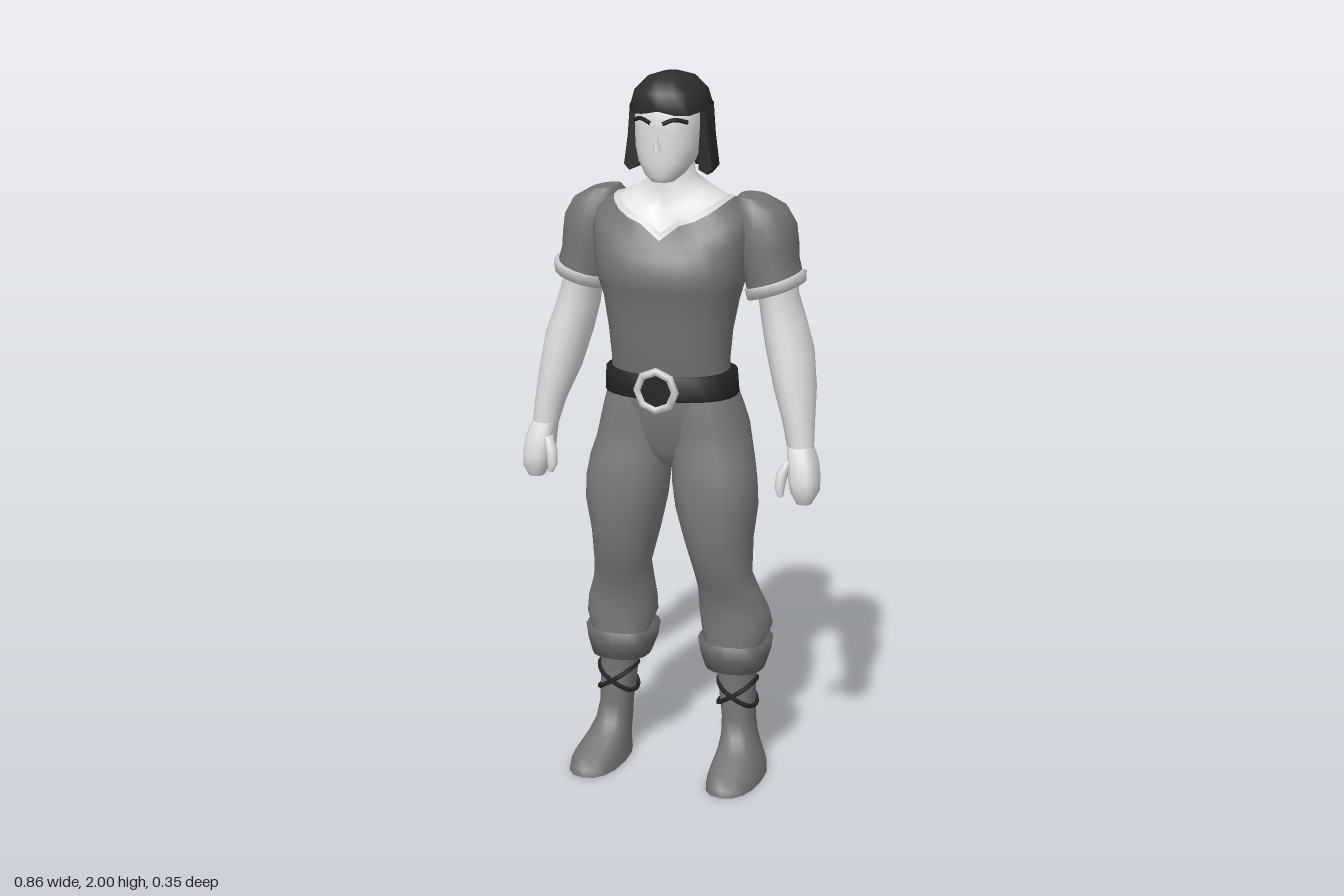
import * as THREE from 'three';

const mat = (name, color, side = THREE.FrontSide) => {
  const m = new THREE.MeshStandardMaterial({ color, side });
  m.name = name;
  return m;
};

// One horizontal cross-section: y may be a number or a rule of (cos, sin); zf / zb are front and back depth.
function ring(y, cx, rx, zf, zb, e = 0.9, n = 16) {
  const zc = (zf + zb) / 2, pts = [];
  for (let i = 0; i < n; i++) {
    const a = (i / n) * Math.PI * 2, s = Math.sin(a), c = Math.cos(a);
    const p = v => Math.sign(v) * Math.abs(v) ** e;
    pts.push([cx + rx * p(s), typeof y === 'function' ? y(c, s) : y, zc + (zf - zc) * p(c)]);
  }
  return pts;
}

// Skin closed rings (listed top to bottom) into a smooth surface, with optional end caps.
function loft(rings, capTop = false, capBottom = false) {
  const n = rings[0].length, pos = rings.flat(2), idx = [];
  for (let i = 0; i < rings.length - 1; i++)
    for (let j = 0; j < n; j++) {
      const a = i * n + j, b = i * n + (j + 1) % n;
      idx.push(a, a + n, b + n, a, b + n, b);
    }
  const cap = (r, flip) => {
    const base = pos.length / 3;
    r.forEach(p => pos.push(...p));
    pos.push(...[0, 1, 2].map(k => r.reduce((t, p) => t + p[k], 0) / n));
    for (let j = 0; j < n; j++) {
      const a = base + j, b = base + (j + 1) % n;
      idx.push(base + n, flip ? b : a, flip ? a : b);
    }
  };
  if (capTop) cap(rings[0], false);
  if (capBottom) cap(rings[rings.length - 1], true);
  const g = new THREE.BufferGeometry();
  g.setAttribute('position', new THREE.Float32BufferAttribute(pos, 3));
  g.setIndex(idx);
  g.computeVertexNormals();
  return g;
}

const tube = (pts, r, closed = false) => new THREE.TubeGeometry(
  new THREE.CatmullRomCurve3(pts.map(p => new THREE.Vector3(...p)), closed), pts.length * 3, r, 5, closed);

// Height rule blending side height into front and back heights, with a notch at the centre front.
const dip = (side, front, back, notch = 0) => c =>
  side + ((c > 0 ? front : back) - side) * c * c - (c > 0.99 ? notch : 0);

export function createModel() {
  const model = new THREE.Group();
  const skin = mat('skin', 0xdedede), shirt = mat('shirt', 0x757575, THREE.DoubleSide);
  const pants = mat('trousers', 0x7c7c7c), boot = mat('boot leather', 0x747474);
  const cuff = mat('cuff', 0x686868), trim = mat('trim', 0xcfcfcf, THREE.DoubleSide);
  const hair = mat('hair', 0x2c2c2c, THREE.DoubleSide), dark = mat('belt and laces', 0x262626);
  const add = (name, geo, m) => {
    const mesh = new THREE.Mesh(geo, m);
    mesh.name = name;
    model.add(mesh);
    return mesh;
  };

  // Torso, collar and neck share the neckline rings
  const neckOut = ring(dip(1.665, 1.6, 1.615, 0.04), 0, 0.165, 0.1, -0.158, 0.8, 24);
  const neckIn = ring(dip(1.668, 1.615, 1.63, 0.035), 0, 0.145, 0.09, -0.148, 0.8, 24);
  const torso = [
    [dip(1.63, 1.545, 1.58), 0.215, 0.118, -0.168], [dip(1.57, 1.515, 1.54), 0.222, 0.142, -0.17],
    [1.47, 0.21, 0.158, -0.165], [1.43, 0.2, 0.153, -0.158], [1.385, 0.187, 0.139, -0.145],
    [1.3, 0.172, 0.132, -0.125], [1.22, 0.165, 0.12, -0.115], [1.15, 0.166, 0.108, -0.115],
  ].map(([y, rx, f, b]) => ring(y, 0, rx, f, b, 0.88, 24));
  add('shirt body', loft([neckOut, ...torso]), shirt);
  add('collar trim', loft([neckIn, neckOut]), trim);
  add('neck', loft([
    ring(1.79, 0, 0.052, 0.04, -0.08, 1, 24),
    ring(dip(1.72, 1.68, 1.73), 0, 0.057, 0.032, -0.09, 1, 24),
    ring(dip(1.69, 1.635, 1.68), 0, 0.1, 0.062, -0.125, 0.9, 24), neckIn]), skin);

  // Head
  add('head', loft([
    [1.96, 0.07, 0.08, -0.08], [1.91, 0.09, 0.113, -0.1], [1.86, 0.09, 0.114, -0.1],
    [1.81, 0.086, 0.114, -0.08], [1.77, 0.074, 0.114, -0.05], [1.735, 0.05, 0.11, -0.01],
    [1.718, 0.03, 0.098, 0.03],
  ].map(([y, rx, f, b]) => ring(y, 0, rx, f, b, 0.85, 24)), true, true), skin);
  const nose = add('nose', new THREE.ConeGeometry(0.014, 0.06, 4), skin);
  nose.position.set(0, 1.835, 0.111);

  // Hair: a cap with a fringe, then a thick curtain round the sides and back
  const fringe = (c, s) => 1.905 + (c > 0 ? 0.007 * Math.cos(s * 22) : 0);
  add('hair cap', loft([
    ring(2, 0, 0.025, 0.03, -0.035, 1), ring(1.987, 0, 0.065, 0.072, -0.08, 0.95),
    ring(1.955, 0, 0.096, 0.108, -0.112, 0.95), ring(fringe, 0, 0.109, 0.121, -0.127, 0.9),
    ring(1.905, 0, 0.087, 0.1, -0.1, 0.9)], true), hair);
  const curtain = [];
  for (let i = 0; i <= 16; i++) {
    const a = Math.PI * (0.45 + 1.1 * i / 16), s = Math.sin(a), c = Math.cos(a);
    const p = v => Math.sign(v) * Math.abs(v) ** 0.85;
    curtain.push([[0.109, 0.125, 1.915], [0.115, 0.13, 1.83], [0.126, 0.133, 1.75], [0.112, 0.122, 1.733],
      [0.085, 0.1, 1.745], [0.085, 0.098, 1.915]].map(([x, z, y]) => [x * p(s), y, z * p(c) + 0.002]));
  }
  add('hair curtain', loft(curtain, true, true), hair);

  // Belt and buckle
  add('belt', loft([[1.195, 0.16, 0.1, -0.115], [1.188, 0.183, 0.122, -0.132], [1.122, 0.187, 0.12, -0.138],
    [1.115, 0.165, 0.1, -0.12]].map(([y, rx, f, b]) => ring(y, 0, rx, f, b, 0.85, 24))), dark);
  const frame = add('buckle frame', new THREE.TorusGeometry(0.054, 0.012, 6, 8), trim);
  frame.position.set(0, 1.15, 0.125);
  const plate = add('buckle plate', new THREE.CylinderGeometry(0.05, 0.05, 0.009, 8), dark);
  plate.rotation.x = Math.PI / 2;
  plate.position.set(0, 1.15, 0.124);

  // Hips
  add('hips', loft([[1.17, 0.17, 0.105, -0.12], [1.1, 0.187, 0.1, -0.13], [1.03, 0.19, 0.088, -0.125],
    [0.96, 0.12, 0.07, -0.09], [0.92, 0.05, 0.04, -0.05]].map(([y, rx, f, b]) => ring(y, 0, rx, f, b)), false, true), pants);

  for (const [s, side] of [[1, 'left '], [-1, 'right ']]) {
    const rows = (list, e) => list.map(([y, x, rx, f, b]) => ring(y, s * x, rx, f, b, e));
    // Rings tilted so the outer edge sits higher
    const tilted = list => list.map(([y, x, rx, f, b, k]) => ring((c, t) => y + s * k * t, s * x, rx, f, b));

    add(side + 'eyebrow', tube([[s * 0.016, 1.878, 0.116], [s * 0.045, 1.889, 0.107], [s * 0.074, 1.88, 0.08]], 0.006), dark);

    // Sleeve and its trim
    add(side + 'sleeve', loft(tilted([
      [1.668, 0.215, 0.04, -0.01, -0.12, -0.005], [1.645, 0.232, 0.07, 0.01, -0.15, -0.01],
      [1.59, 0.243, 0.084, 0.028, -0.17, 0], [1.53, 0.253, 0.08, 0.03, -0.172, 0.01],
      [1.48, 0.263, 0.072, 0.03, -0.168, 0.018], [1.435, 0.275, 0.071, 0.03, -0.16, 0.025]]), true), shirt);
    add(side + 'sleeve trim', loft(tilted([[1.443, 0.274, 0.07, 0.03, -0.16, 0.024],
      [1.44, 0.277, 0.08, 0.037, -0.167, 0.025], [1.412, 0.281, 0.076, 0.033, -0.163, 0.026],
      [1.418, 0.281, 0.05, 0.01, -0.14, 0.02]])), trim);

    // Arm, fist and thumb
    add(side + 'arm', loft(rows([
      [1.47, 0.272, 0.058, 0.01, -0.15], [1.4, 0.285, 0.053, 0.01, -0.148], [1.33, 0.301, 0.06, 0.01, -0.15],
      [1.25, 0.323, 0.064, 0.025, -0.143], [1.15, 0.344, 0.057, 0.036, -0.118], [1.06, 0.364, 0.043, 0.04, -0.065],
      [0.99, 0.375, 0.036, 0.042, -0.035]], 1)), skin);
    add(side + 'hand', loft(rows([
      [1.0, 0.374, 0.035, 0.042, -0.033], [0.96, 0.384, 0.041, 0.058, -0.037], [0.91, 0.39, 0.041, 0.07, -0.04],
      [0.875, 0.394, 0.037, 0.066, -0.028], [0.845, 0.394, 0.021, 0.05, 0]], 0.75), true, true), skin);
    add(side + 'thumb', loft(rows([
      [0.965, 0.352, 0.012, 0.055, 0.02], [0.93, 0.338, 0.016, 0.072, 0.034],
      [0.89, 0.333, 0.014, 0.075, 0.043], [0.868, 0.337, 0.007, 0.07, 0.052]], 1), true, true), skin);

    // Trouser leg with buttock, knee and calf
    add(side + 'trouser leg', loft(rows([
      [1.13, 0.095, 0.085, 0.09, -0.125], [1.08, 0.1, 0.095, 0.096, -0.145], [1.03, 0.106, 0.102, 0.096, -0.16],
      [0.98, 0.112, 0.106, 0.1, -0.153], [0.93, 0.12, 0.113, 0.108, -0.13], [0.87, 0.127, 0.116, 0.115, -0.122],
      [0.8, 0.133, 0.113, 0.114, -0.122], [0.7, 0.138, 0.093, 0.1, -0.12], [0.6, 0.15, 0.078, 0.075, -0.105],
      [0.55, 0.157, 0.085, 0.04, -0.118], [0.48, 0.168, 0.098, 0.028, -0.15], [0.43, 0.173, 0.1, 0.025, -0.17],
      [0.38, 0.17, 0.082, 0.02, -0.11]]), true, true), pants);

    // Turned-down boot cuff
    add(side + 'boot cuff', loft(rows([[0.383, 0.17, 0.075, 0.01, -0.12], [0.393, 0.17, 0.105, 0.032, -0.168],
      [0.35, 0.171, 0.098, 0.028, -0.164], [0.308, 0.172, 0.084, 0.02, -0.145], [0.312, 0.175, 0.055, 0, -0.115]], 0.85)), cuff);

    // Boot and foot
    add(side + 'boot', loft(rows([
      [0.33, 0.176, 0.056, 0.002, -0.118], [0.25, 0.18, 0.051, 0, -0.114], [0.16, 0.186, 0.046, 0.002, -0.11],
      [0.11, 0.191, 0.049, 0.02, -0.113], [0.075, 0.197, 0.056, 0.065, -0.117], [0.045, 0.203, 0.065, 0.14, -0.121],
      [0.02, 0.206, 0.072, 0.17, -0.124], [0, 0.206, 0.074, 0.175, -0.125]], 0.85), false, true), boot);

    // Two tilted lace loops that cross at the front and back
    for (const k of [1, -1])
      add(side + 'boot lace', tube(ring((c, t) => 0.235 + k * 0.038 * t, s * 0.181, 0.053, 0.004, -0.117, 0.85, 12), 0.007, true), dark);
  }
  return model;
}
